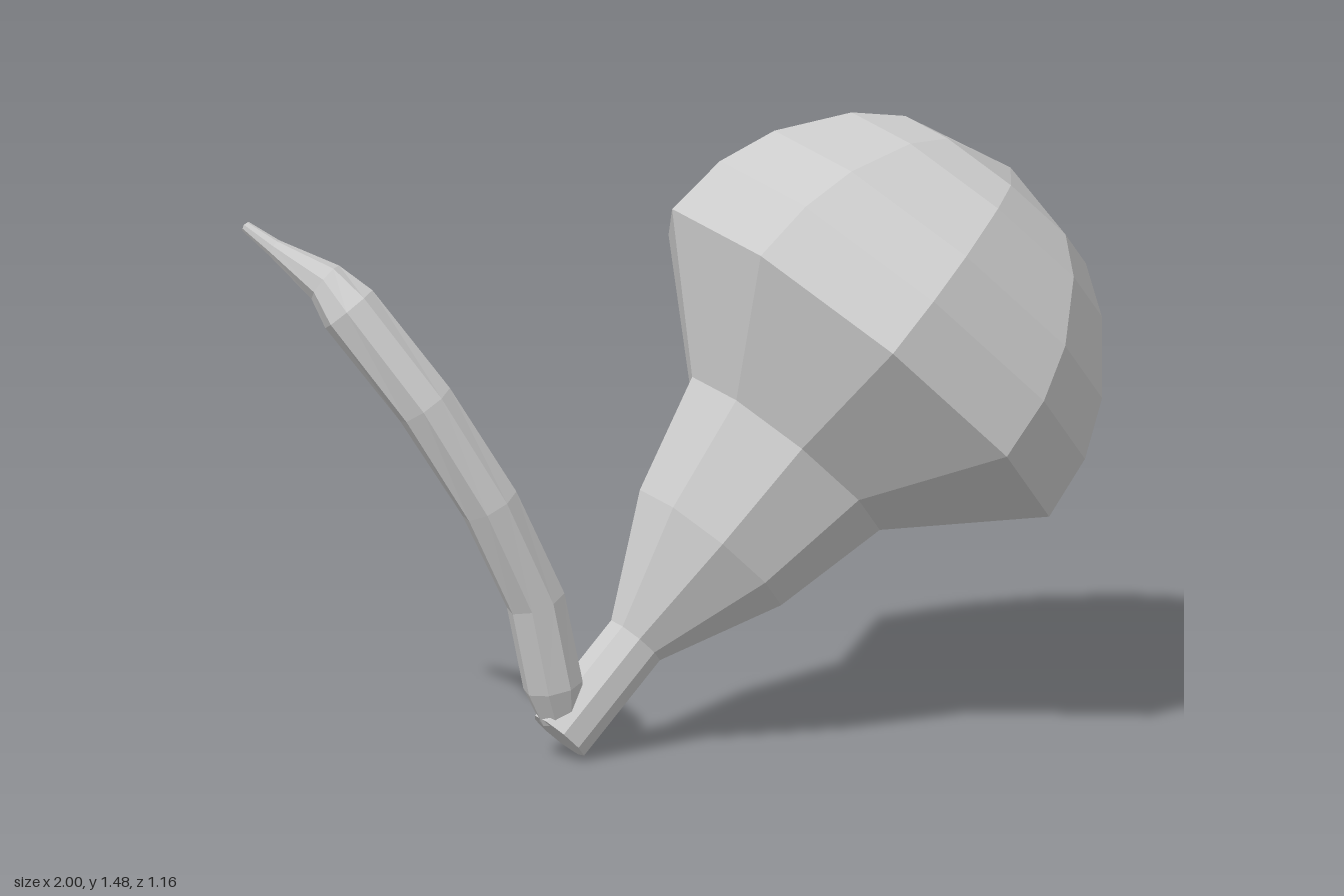
import * as THREE from 'three';

const material = new THREE.MeshStandardMaterial({ color: 0xcccccc, flatShading: true });

// Skin a row of regular polygons: rings are [x, y, z, radius], corner 0 points towards ref
function loft(name, rings, sides, ref) {
  const centres = rings.map(([x, y, z]) => new THREE.Vector3(x, y, z));
  const positions = [];
  const index = [];
  rings.forEach((ring, i) => {
    const next = centres[Math.min(i + 1, rings.length - 1)];
    const along = next.clone().sub(centres[Math.max(i - 1, 0)]).normalize();
    const u = ref.clone().addScaledVector(along, -ref.dot(along)).normalize();
    const w = along.clone().cross(u);
    for (let j = 0; j < sides; j++) {
      const a = (j / sides) * Math.PI * 2;
      const p = centres[i].clone()
        .addScaledVector(u, ring[3] * Math.cos(a))
        .addScaledVector(w, ring[3] * Math.sin(a));
      positions.push(p.x, p.y, p.z);
      if (i === 0) continue;
      const k = (j + 1) % sides;
      const lo = (i - 1) * sides;
      const hi = i * sides;
      if (rings[i - 1][3] > 0) index.push(lo + j, lo + k, hi + k);
      if (ring[3] > 0) index.push(lo + j, hi + k, hi + j);
      else if (rings[i - 1][3] > 0) index.splice(-3, 3, lo + j, lo + k, hi + j);
    }
  });
  const geometry = new THREE.BufferGeometry();
  geometry.setAttribute('position', new THREE.Float32BufferAttribute(positions, 3));
  geometry.setIndex(index);
  const flat = geometry.toNonIndexed();
  flat.computeVertexNormals();
  const mesh = new THREE.Mesh(flat, material);
  mesh.name = name;
  return mesh;
}

export function createModel() {
  const group = new THREE.Group();
  group.name = 'bulbWithStem';

  // Domed bulb on a flaring neck, along a straight tilted axis: [distance, radius]
  const base = new THREE.Vector3(-0.383, 0.057, -0.13);
  const axis = new THREE.Vector3(0.81, 1.33, 0.07).sub(base).normalize();
  const profile = [
    [0, 0], [0, 0.077], [0.295, 0.077], [0.58, 0.223], [0.87, 0.296],
    [1.147, 0.595], [1.31, 0.576], [1.452, 0.517], [1.607, 0.395], [1.685, 0.285], [1.756, 0],
  ];
  const bulbRings = profile.map(([t, r]) => [...base.clone().addScaledVector(axis, t).toArray(), r]);
  group.add(loft('bulb', bulbRings, 9, new THREE.Vector3(0.745, -0.667, 0)));

  // Thin curved stem rising from the foot of the neck to a pointed tip
  const stemRings = [
    [-0.375, 0.085, -0.13, 0],
    [-0.38, 0.1, -0.13, 0.05],
    [-0.4, 0.185, -0.13, 0.073],
    [-0.45, 0.4, -0.132, 0.073],
    [-0.57, 0.65, -0.155, 0.073],
    [-0.71, 0.9, -0.225, 0.073],
    [-0.845, 1.13, -0.35, 0.073],
    [-0.875, 1.19, -0.405, 0.052],
    [-0.95, 1.265, -0.51, 0.022],
    [-0.99, 1.312, -0.573, 0.013],
    [-0.992, 1.315, -0.576, 0],
  ];
  group.add(loft('stem', stemRings, 8, new THREE.Vector3(1, 0, 0)));

  return group;
}
